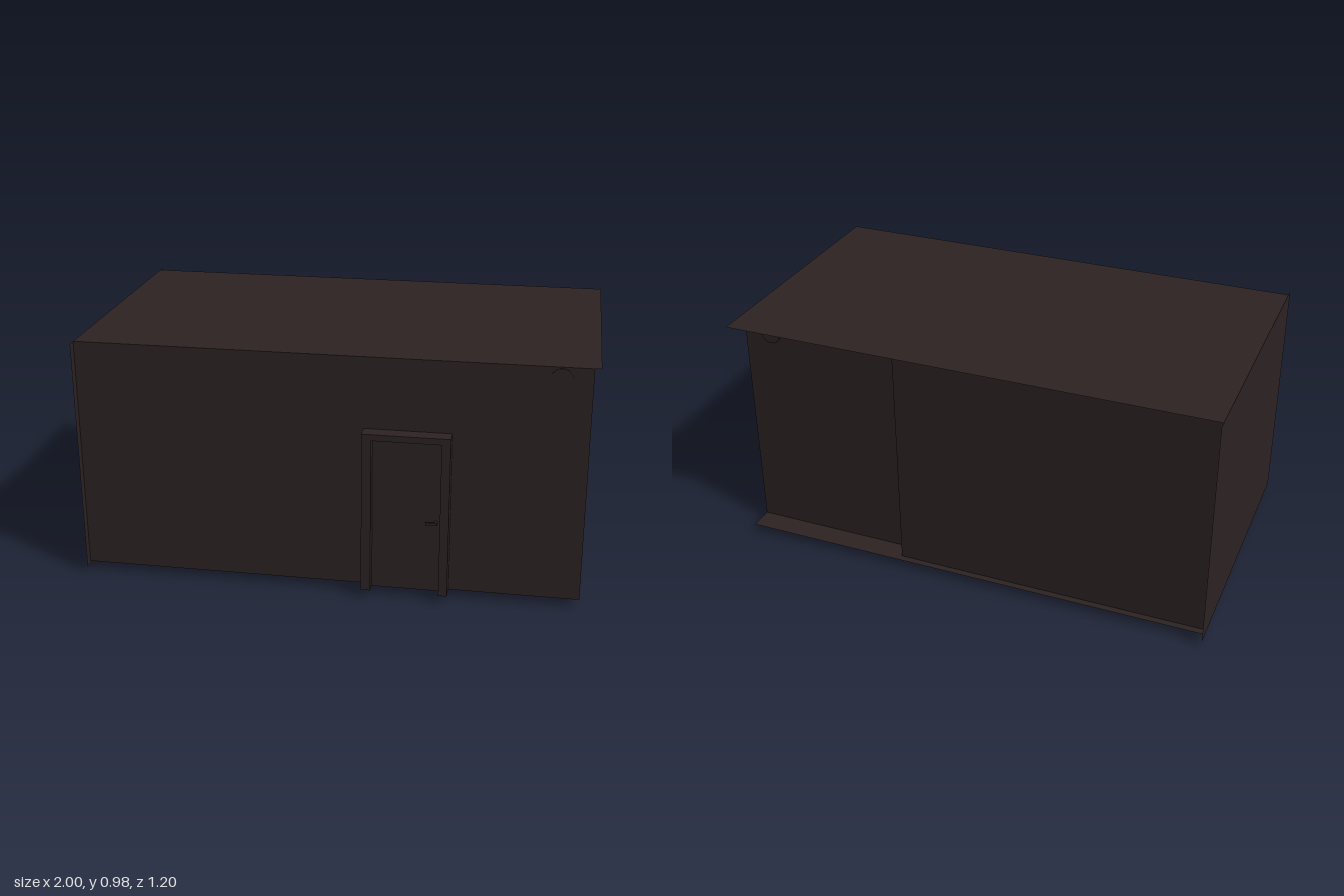
import * as THREE from 'three';

export function createModel() {
  const group = new THREE.Group();
  group.name = 'room';

  const darkBrown = new THREE.MeshStandardMaterial({ color: 0x2d2323, side: THREE.DoubleSide });
  darkBrown.name = 'dark brown';

  const FLOOR = 0.035, TOP = 0.975;

  function add(name, geometry, x, y, z, parent = group) {
    const mesh = new THREE.Mesh(geometry, darkBrown);
    mesh.name = name;
    mesh.position.set(x, y, z);
    parent.add(mesh);
    return mesh;
  }
  // box given by its limits on each axis
  function box(name, [x0, x1], [y0, y1], [z0, z1], parent) {
    return add(name, new THREE.BoxGeometry(x1 - x0, y1 - y0, z1 - z0),
      (x0 + x1) / 2, (y0 + y1) / 2, (z0 + z1) / 2, parent);
  }
  // upright sheet across x, facing outward along z
  function wallX(name, x0, x1, z, back) {
    const wall = add(name, new THREE.PlaneGeometry(x1 - x0, TOP - FLOOR), (x0 + x1) / 2, (FLOOR + TOP) / 2, z);
    if (back) wall.rotation.y = Math.PI;
  }
  // upright sheet across z, facing along +x or -x
  function wallZ(name, z0, z1, x, dir, y0 = FLOOR) {
    const wall = add(name, new THREE.PlaneGeometry(z1 - z0, TOP - y0), x, (y0 + TOP) / 2, (z0 + z1) / 2);
    wall.rotation.y = dir * Math.PI / 2;
  }

  // roof and floor sheets
  const roof = add('roof', new THREE.PlaneGeometry(2, 1.108), 0, TOP, -0.014);
  roof.rotation.x = -Math.PI / 2;
  const floor = add('floor', new THREE.PlaneGeometry(1.975, 1.108), -0.0125, FLOOR, -0.014);
  floor.rotation.x = Math.PI / 2;

  // walls: the back steps outward, the right end wall overhangs
  wallX('frontWall', -1, 0.975, 0.54, false);
  wallX('backWallRecessed', 0.29, 0.975, -0.47, true);
  wallX('backWall', -1, 0.29, -0.54, true);
  wallZ('backWallStep', -0.54, -0.47, 0.29, 1);
  wallZ('leftWall', -0.47, 0.54, 0.975, 1);
  wallZ('rightWall', -0.6, 0.575, -1, -1, 0.025);

  // door with frame and lever handle
  const door = new THREE.Group();
  door.name = 'door';
  group.add(door);
  const depth = [0.535, 0.6];
  box('doorJamb', [0.13, 0.167], [FLOOR, 0.69], depth, door);
  box('doorJamb', [0.433, 0.467], [FLOOR, 0.69], depth, door);
  box('doorLintel', [0.167, 0.433], [0.665, 0.69], depth, door);
  box('doorLeaf', [0.167, 0.433], [FLOOR, 0.665], [0.535, 0.56], door);
  box('doorHandle', [0.375, 0.42], [0.325, 0.335], [0.575, 0.583], door);
  box('handleStem', [0.41, 0.42], [0.325, 0.335], [0.56, 0.575], door);

  // pipe running under the roof through both long walls
  const pipe = add('pipe', new THREE.CylinderGeometry(0.042, 0.042, 1.018, 24), 0.86, 0.928, 0.034);
  pipe.rotation.x = Math.PI / 2;

  // panel on the left wall
  box('wallPanel', [0.973, 0.977], [0.55, 0.735], [-0.21, 0.02]);

  // round base showing below the floor
  add('roundBase', new THREE.CylinderGeometry(0.125, 0.115, 0.05, 24, 1, true), -0.62, 0.025, -0.365);
  for (let i = 0; i < 3; i++) {
    const rib = add('baseRib', new THREE.BoxGeometry(0.23, 0.03, 0.02), -0.62, 0.025, -0.365);
    rib.rotation.y = i * Math.PI / 3;
  }

  return group;
}
